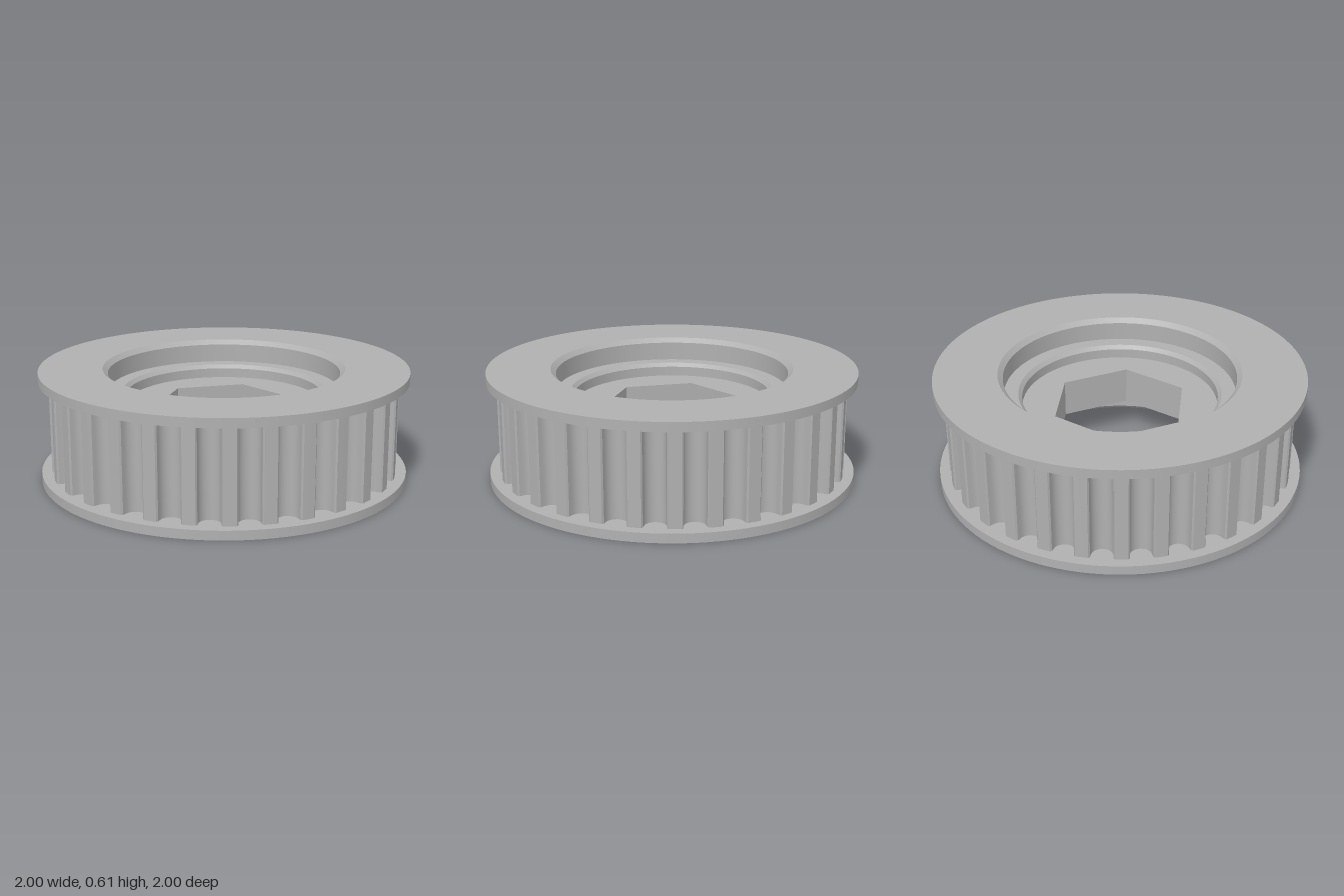
import * as THREE from 'three';
import { mergeGeometries, toCreasedNormals } from 'three/addons/utils/BufferGeometryUtils.js';

const H = 0.605;          // overall height
const FLANGE = 0.05;      // flange thickness
const TEETH = 30;
const SEG = 120;

// Lathe with a hard edge at every profile point
function hardLathe(points) {
  const bands = [];
  for (let i = 0; i + 1 < points.length; i++) {
    const pair = [points[i], points[i + 1]].map(([r, y]) => new THREE.Vector2(r, y));
    bands.push(new THREE.LatheGeometry(pair, SEG));
  }
  return mergeGeometries(bands);
}

// Outline of the toothed rim: round-bottomed grooves between narrow lands
function toothOutline() {
  const groove = [[-0.066, 0.943], [-0.058, 0.935]];
  for (let i = 0; i <= 12; i++) {
    const a = Math.PI * (1 + i / 12);
    groove.push([0.056 * Math.cos(a), 0.918 + 0.056 * Math.sin(a)]);
  }
  groove.push([0.058, 0.935], [0.066, 0.943]);
  const pts = [];
  const pitch = (2 * Math.PI) / TEETH;
  for (let k = 0; k < TEETH; k++) {
    const a = k * pitch, c = Math.cos(a), s = Math.sin(a);
    for (const [t, r] of groove) pts.push(new THREE.Vector2(t * c + r * s, r * c - t * s));
    const mid = a + pitch / 2;
    pts.push(new THREE.Vector2(0.945 * Math.sin(mid), 0.945 * Math.cos(mid)));
  }
  return new THREE.Shape(pts);
}

// Side walls only of the extruded rim, since its ends sit against the flanges
function toothedRim() {
  const solid = new THREE.ExtrudeGeometry(toothOutline(), { depth: H - 2 * FLANGE, bevelEnabled: false });
  const { start, count } = solid.groups[1];
  const walls = new THREE.BufferGeometry();
  const pos = solid.attributes.position.array.slice(start * 3, (start + count) * 3);
  walls.setAttribute('position', new THREE.BufferAttribute(pos, 3));
  walls.rotateX(-Math.PI / 2).translate(0, FLANGE, 0);
  return toCreasedNormals(walls, 0.6);
}

// Central web with a hexagonal bore, corners pointing along z
function hexWeb() {
  const disc = new THREE.Shape().absarc(0, 0, 0.53, 0, 2 * Math.PI, false);
  const corners = [];
  for (let i = 0; i < 6; i++) {
    const a = Math.PI / 2 - (i * Math.PI) / 3;
    corners.push(new THREE.Vector2(0.38 * Math.cos(a), 0.38 * Math.sin(a)));
  }
  disc.holes.push(new THREE.Path(corners));
  const geo = new THREE.ExtrudeGeometry(disc, { depth: H - 0.4, bevelEnabled: false, curveSegments: SEG });
  return geo.rotateX(-Math.PI / 2).translate(0, 0.2, 0);
}

export function createModel() {
  const group = new THREE.Group();
  const metal = new THREE.MeshStandardMaterial({ color: 0xb0b0b0 });
  metal.name = 'grey metal';
  const add = (name, geometry) => {
    const mesh = new THREE.Mesh(geometry, metal);
    mesh.name = name;
    group.add(mesh);
    return mesh;
  };

  add('toothedRim', toothedRim());
  add('hexWeb', hexWeb());

  // Flange and stepped, chamfered recess; the lower one is the upper one turned over
  const flange = [
    [0.86, H - FLANGE], [1, H - FLANGE], [1, H], [0.655, H],
    [0.628, H - 0.025], [0.628, H - 0.127], [0.55, H - 0.127],
    [0.53, H - 0.147], [0.53, H - 0.2],
  ];
  add('upperFlange', hardLathe(flange));
  const lower = add('lowerFlange', hardLathe(flange));
  lower.rotation.x = Math.PI;
  lower.position.y = H;

  return group;
}
